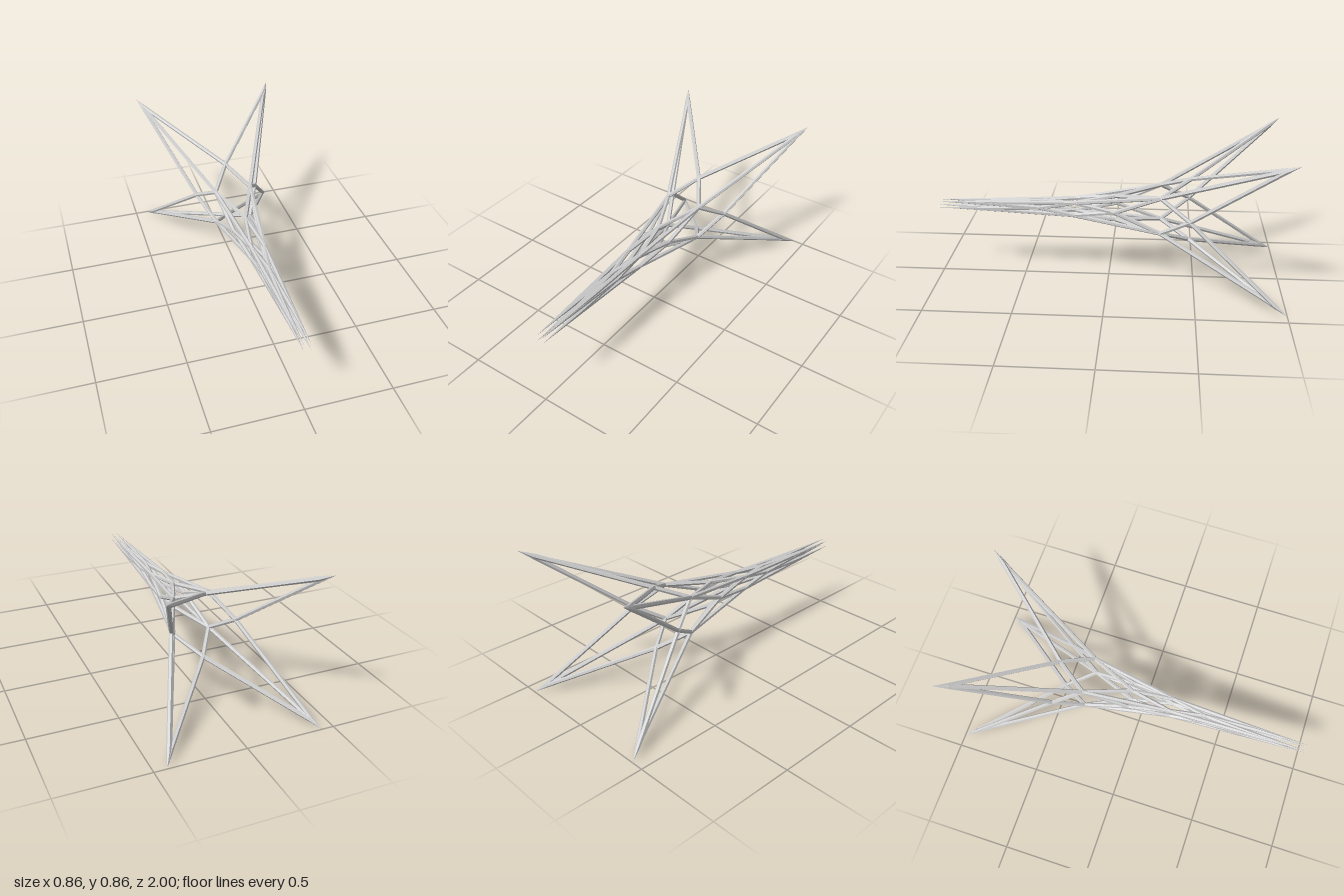
import * as THREE from 'three';

const CENTRE_Y = 0.433;
const R = 0.0125; // strut radius
const UP = new THREE.Vector3(0, 1, 0);

export function createModel() {
  const group = new THREE.Group();
  const grey = new THREE.MeshStandardMaterial({ color: 0xcfcfcf, flatShading: true });
  grey.name = 'light grey';

  // Rings of four nodes, alternating between the diagonals and the axes
  const ring = (radius, z, diagonal) => [0, 1, 2, 3].map((i) => {
    const a = (i + (diagonal ? 0.5 : 0)) * Math.PI / 2;
    return new THREE.Vector3(Math.cos(a) * radius, CENTRE_Y + Math.sin(a) * radius, z);
  });
  const backTips = ring(0.611, -1, true);
  const backCross = ring(0.187, -0.465, false);
  const outerWaist = ring(0.152, -0.3, true);
  const middleCross = ring(0.073, -0.04, false);
  const innerWaist = ring(0.054, 0.2, true);
  const frontCross = ring(0.03, 0.4, false);
  const frontTips = ring(0.026, 1, true);

  // Six-sided bar laid from one node to another
  function addBar(name, from, to, profile) {
    const points = profile.map(([r, y]) => new THREE.Vector2(r, y));
    const mesh = new THREE.Mesh(new THREE.LatheGeometry(points, 6), grey);
    mesh.name = name;
    mesh.position.copy(from);
    mesh.quaternion.setFromUnitVectors(UP, to.clone().sub(from).normalize());
    group.add(mesh);
    return mesh;
  }

  function strut(name, from, to) {
    const length = from.distanceTo(to);
    addBar(name, from, to, [[0, 0], [R, 0], [R, length], [0, length]]);
  }

  // Three bars merging into one straight-edged point: each tapers near the tip
  // and leans inward there, so that its outer edge runs straight to the tip
  function point(name, tip, ends, taper) {
    const heart = new THREE.Vector3();
    ends.forEach((end) => heart.add(end.clone().sub(tip).normalize()));
    for (const end of ends) {
      const length = tip.distanceTo(end);
      const bar = addBar(name, tip, end,
        [[0, 0], [R, taper * length], [R, length], [0, length]]);
      const inward = heart.clone().applyQuaternion(bar.quaternion.clone().invert())
        .setY(0).normalize();
      const pos = bar.geometry.attributes.position;
      for (let i = 0; i < pos.count; i++) {
        const t = pos.getY(i) / length;
        const lean = R * (Math.min(1, t / taper) - t);
        pos.setXYZ(i, pos.getX(i) + inward.x * lean, pos.getY(i), pos.getZ(i) + inward.z * lean);
      }
    }
  }

  // Each diagonal node joins the two axial nodes beside it
  function zigzag(name, diagonal, axial) {
    for (let i = 0; i < 4; i++) {
      strut(name, diagonal[i], axial[i]);
      strut(name, diagonal[i], axial[(i + 1) % 4]);
    }
  }

  for (let i = 0; i < 4; i++) {
    const next = (i + 1) % 4;
    // Flared back legs, slender front prongs and the bars between them
    point('backLeg', backTips[i], [outerWaist[i], backCross[i], backCross[next]], 0.12);
    point('frontProng', frontTips[i], [innerWaist[i], frontCross[i], frontCross[next]], 0.5);
    strut('middleSpine', outerWaist[i], innerWaist[i]);
  }

  // Cross bracing from back to front
  zigzag('backCollar', outerWaist, backCross);
  zigzag('outerBrace', outerWaist, middleCross);
  zigzag('innerBrace', innerWaist, middleCross);
  zigzag('frontCollar', innerWaist, frontCross);

  // Faceted joints where struts meet
  const jointShape = new THREE.IcosahedronGeometry(R * 1.05, 1);
  for (const p of [backCross, outerWaist, middleCross, innerWaist, frontCross].flat()) {
    const joint = new THREE.Mesh(jointShape, grey);
    joint.name = 'joint';
    joint.position.copy(p);
    group.add(joint);
  }
  return group;
}
